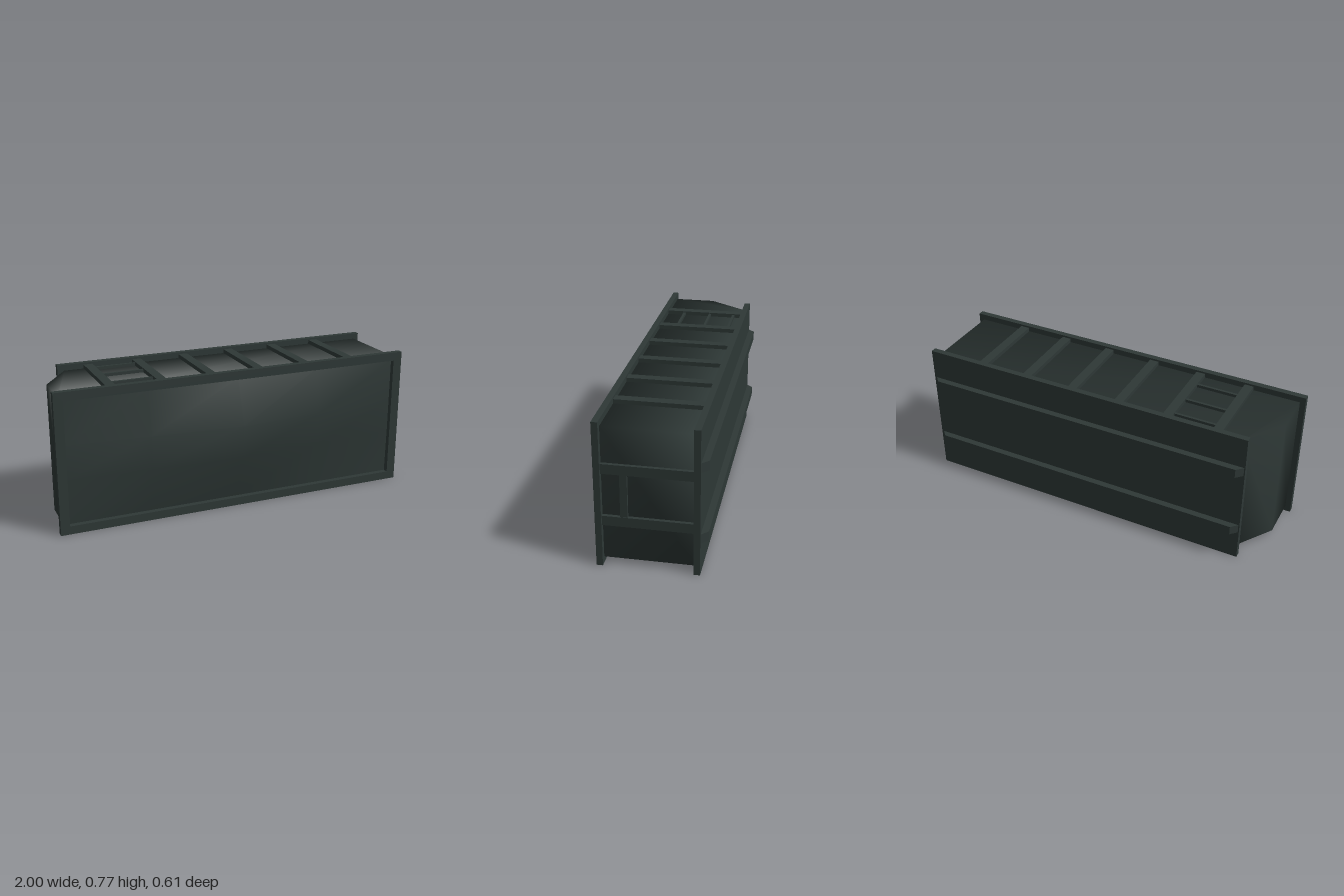
import * as THREE from 'three';
import { mergeVertices } from 'three/addons/utils/BufferGeometryUtils.js';

export function createModel() {
  const model = new THREE.Group();
  model.name = 'wasteContainer';
  const steel = new THREE.MeshStandardMaterial({ color: 0x2e3836 });
  steel.name = 'dark green steel';

  const add = (name, geometry, parent = model) => {
    const mesh = new THREE.Mesh(geometry, steel);
    mesh.name = name;
    parent.add(mesh);
    return mesh;
  };
  // Box given by its limits on each axis
  const box = (name, x0, x1, y0, y1, z0, z1, parent) =>
    add(name, new THREE.BoxGeometry(x1 - x0, y1 - y0, z1 - z0), parent)
      .position.set((x0 + x1) / 2, (y0 + y1) / 2, (z0 + z1) / 2);
  // Prism with an outline of [x, z] points, running from y0 to y1
  const prism = (outline, y0, y1) => {
    const shape = new THREE.Shape(outline.map(([x, z]) => new THREE.Vector2(x, -z)));
    return new THREE.ExtrudeGeometry(shape, { depth: y1 - y0, bevelEnabled: false })
      .rotateX(-Math.PI / 2).translate(0, y0, 0);
  };
  const group = (name) => {
    const g = new THREE.Group();
    g.name = name;
    model.add(g);
    return g;
  };

  const H = 0.767;
  const bodyLow = 0.033, bodyHigh = 0.735;

  // Body with one sloping end, shaded smoothly across its corners
  let body = prism([[-0.97, 0.21], [0.97, 0.21], [0.97, -0.24], [-0.82, -0.24], [-0.97, -0.02]],
    bodyLow, bodyHigh);
  body.deleteAttribute('normal');
  body.deleteAttribute('uv');
  body = mergeVertices(body);
  body.computeVertexNormals();
  add('body', body);

  // Rim around the opening
  const rim = new THREE.Shape([[-1, 0], [1, 0], [1, H], [-1, H]].map((p) => new THREE.Vector2(...p)));
  rim.holes.push(new THREE.Path(
    [[-0.95, 0.045], [-0.95, 0.72], [0.95, 0.72], [0.95, 0.045]].map((p) => new THREE.Vector2(...p))));
  add('rim', new THREE.ExtrudeGeometry(rim, { depth: 0.032, bevelEnabled: false }).translate(0, 0, 0.209));

  // Mounded load filling the opening
  const xs = [-0.95, -0.5, 0, 0.47, 0.95];
  const ys = [0.72, 0.478, 0.29, 0.045];
  const heights = [
    [0.215, 0.215, 0.217, 0.215, 0.215],
    [0.215, 0.256, 0.303, 0.261, 0.215],
    [0.215, 0.247, 0.285, 0.25, 0.215],
    [0.211, 0.211, 0.211, 0.211, 0.211],
  ];
  const load = new THREE.PlaneGeometry(1, 1, 4, 3);
  const pos = load.attributes.position;
  for (let i = 0; i < pos.count; i++) {
    const c = i % 5, r = Math.floor(i / 5);
    pos.setXYZ(i, xs[c], ys[r], heights[r][c]);
  }
  load.computeVertexNormals();
  add('load', load);

  // Base plate and its two skid rails with chamfered ends
  box('basePlate', -0.86, 1, 0, H, -0.269, -0.237);
  for (const y of [0.172, 0.548]) {
    add('skidRail', prism(
      [[-0.855, -0.268], [0.99, -0.268], [0.955, -0.303], [-0.82, -0.303]], y, y + 0.05));
  }

  // Ribs and climbing rungs on both long sides
  for (const [side, y0, y1] of [['upper', bodyHigh - 0.005, 0.757], ['lower', 0.01, bodyLow + 0.005]]) {
    const ribs = group(side + 'Ribs');
    for (let i = 0; i < 6; i++) {
      const x = -0.69 + i * 0.275;
      box('rib', x - 0.025, x + 0.025, y0, y1, -0.238, 0.21, ribs);
    }
    const ladder = group(side + 'Ladder');
    for (const z of [-0.19, -0.048, 0.108]) {
      box('rung', -0.67, -0.435, y0 + 0.002, y1 - 0.006, z - 0.007, z + 0.007, ladder);
    }
  }

  // Cross bars and short post on the straight end
  const end = group('endBars');
  box('crossBar', 0.965, 0.988, 0.221, 0.272, -0.238, 0.21, end);
  box('crossBar', 0.965, 0.988, 0.498, 0.549, -0.238, 0.21, end);
  box('post', 0.965, 0.985, 0.272, 0.498, 0.083, 0.119, end);

  return model;
}
